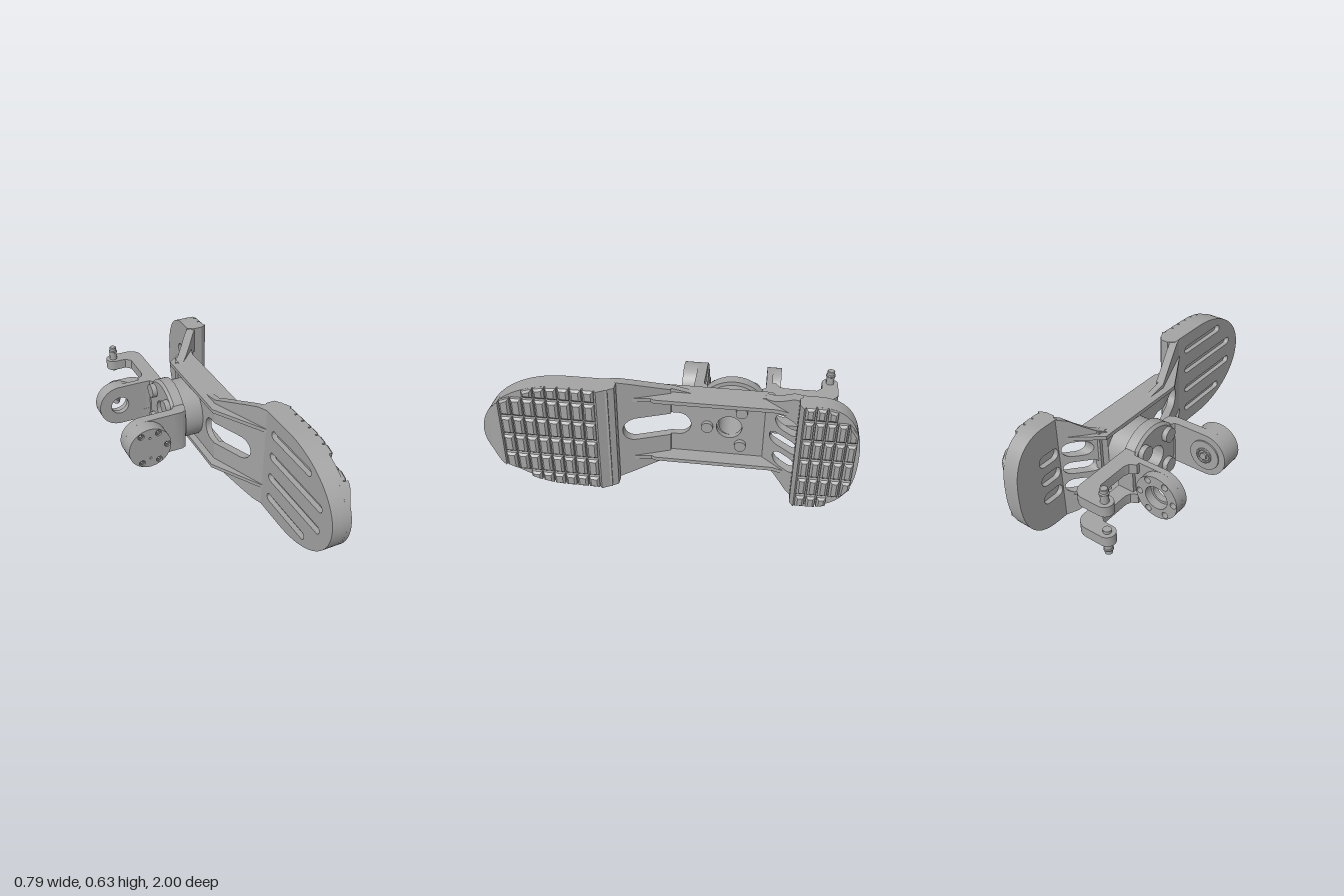
import * as THREE from 'three';
import { toCreasedNormals } from 'three/addons/utils/BufferGeometryUtils.js';

const CY = 0.3175, HW = 0.3175; // centre height, half width of the pads

export function createModel() {
  const root = new THREE.Group();
  root.name = 'roboticFoot';
  const body = new THREE.Group();
  body.name = 'footAssembly';
  body.position.y = CY;
  root.add(body);
  const grey = new THREE.MeshStandardMaterial({ color: 0xa4a4a4 });
  grey.name = 'machinedGrey';

  const add = (name, geo) => {
    const m = new THREE.Mesh(toCreasedNormals(geo, 0.5), grey);
    m.name = name;
    body.add(m);
    return m;
  };
  const poly = (C, pts) => new C(pts.map(p => new THREE.Vector2(p[0], p[1])));
  const circle = (x, y, r) => new THREE.Path().absarc(x, y, r, 0, Math.PI * 2);
  const extrude = (s, depth, bevel = 0) => new THREE.ExtrudeGeometry(s, {
    depth, curveSegments: 20, bevelEnabled: bevel > 0, bevelSize: bevel, bevelThickness: bevel,
    bevelOffset: -bevel, bevelSegments: 1 });
  // outline given as (z, y), extruded along x
  const alongX = (pts, x0, x1, holes = [], bevel = 0) => {
    const s = poly(THREE.Shape, pts.map(([z, y]) => [-z, y]));
    s.holes = holes;
    return extrude(s, x1 - x0, bevel).rotateY(Math.PI / 2).translate(x0, 0, 0);
  };
  // outline given as (x, z), extruded along y
  const alongY = (pts, y0, y1, holes = []) => {
    const s = poly(THREE.Shape, pts.map(([x, z]) => [x, -z]));
    s.holes = holes;
    return extrude(s, y1 - y0).rotateX(-Math.PI / 2).translate(0, y0, 0);
  };
  const slot = (a0, a1, b, r) => new THREE.Path()
    .absarc(a1 - r, b, r, -Math.PI / 2, Math.PI / 2).absarc(a0 + r, b, r, Math.PI / 2, Math.PI * 1.5);
  const zSlot = (z0, z1, y, r) => slot(-z1, -z0, y, r);
  const arc = (cx, cy, r, a0, a1, n = 10) => Array.from({ length: n + 1 }, (_, i) => {
    const a = (a0 + (a1 - a0) * i / n) * Math.PI / 180;
    return [cx + r * Math.cos(a), cy + r * Math.sin(a)];
  });
  const mirrorY = half => [...half, ...half.slice().reverse().map(([z, y]) => [z, -y])];
  const move = (geo, f) => {
    const p = geo.attributes.position;
    for (let i = 0; i < p.count; i++) p.setX(i, f(p.getX(i), p.getZ(i)));
    return geo;
  };
  const cylX = (r, x0, x1, y, z, n = 24) =>
    new THREE.CylinderGeometry(r, r, x1 - x0, n).rotateZ(-Math.PI / 2).translate((x0 + x1) / 2, y, z);
  const cylZ = (r, z0, z1, x, y, n = 24) =>
    new THREE.CylinderGeometry(r, r, z1 - z0, n).rotateX(Math.PI / 2).translate(x, y, (z0 + z1) / 2);
  const latheX = pts => new THREE.LatheGeometry(pts.map(p => new THREE.Vector2(...p)), 48).rotateZ(-Math.PI / 2);

  // pad half widths along z
  const toeHW = z => z < 0.55 ? HW : HW * Math.sqrt(Math.max(0, 1 - ((z - 0.55) / 0.45) ** 2));
  const heelHW = z => z > -0.76 ? HW : HW * Math.max(0, 1 - ((-z - 0.76) / 0.24) ** 2.5) ** 0.4;
  const padOutline = (hw, z0, zc, z1) => {
    const half = [];
    if (z0 !== zc) half.push([z0, hw(z0)]);
    for (let i = 0; i <= 20; i++) {
      const z = zc + (z1 - zc) * Math.sin(i / 20 * Math.PI / 2);
      half.push([z, Math.max(hw(z), 0.002)]);
    }
    return mirrorY(half);
  };

  // toe pad: slotted back layer, sole, bevelled rear edge and sloped tip
  const toe = padOutline(toeHW, 0.3, 0.55, 1);
  add('toePadBack', alongX(toe, 0.255, 0.285,
    [-0.21, -0.07, 0.07, 0.21].map(y => zSlot(0.4, Math.abs(y) > 0.1 ? 0.78 : 0.9, y, 0.024))));
  add('toePadSole', alongX(toe, 0.285, 0.366));
  add('toePadRearEdge', alongY([[0.255, 0.3], [0.29, 0.27], [0.34, 0.27], [0.392, 0.355],
    [0.366, 0.375], [0.255, 0.375]], -HW, HW));
  add('toeTip', move(alongX(padOutline(toeHW, 0.89, 0.89, 1), 0.34, 0.394),
    (x, z) => x > 0.35 ? 0.394 - Math.max(0, z - 0.91) * 0.5 : x));

  // heel pad
  const heel = padOutline(heelHW, -0.69, -0.76, -1);
  add('heelPadBack', alongX(heel, 0.27, 0.3, [-0.12, 0, 0.12].map(y => zSlot(-0.84, -0.705, y, 0.035))));
  add('heelPadSole', alongX(heel, 0.3, 0.366));
  add('heelPadFrontEdge', alongY([[0.28, -0.7], [0.3, -0.675], [0.36, -0.675], [0.392, -0.695],
    [0.366, -0.71]], -HW, HW));

  // tread blocks: rows across the pads, cut into columns
  const tread = (name, hw, start, end, pitch) => {
    const cols = [-0.36, -0.24, -0.12, 0, 0.12, 0.24, 0.36];
    for (let z = start; z + pitch <= end + 1e-6; z += pitch) {
      const a = z + 0.004, b = z + pitch - 0.004;
      for (let c = 0; c < 6; c++) {
        const lo = q => Math.max(cols[c] + 0.007, -hw(q)), hi = q => Math.min(cols[c + 1] - 0.007, hw(q));
        if (hi(a) - lo(a) < 0.035 || hi(b) - lo(b) < 0.035) continue;
        add(name, alongX([[a, lo(a)], [b, lo(b)], [b, hi(b)], [a, hi(a)]], 0.362, 0.383, [], 0.012));
      }
    }
  };
  tread('toeTread', toeHW, 0.365, 0.9, 0.0655);
  tread('heelTread', heelHW, -0.98, -0.7, 0.056);

  // bridge: flat centre plate, sloped toe web and sloped heel web
  const centre = mirrorY([[-0.55, 0.215], [-0.47, 0.2], [-0.12, 0.2], [0, 0.225], [0, 0.07]]
    .concat(arc(-0.04, 0, 0.07, 90, 180).slice(0, -1)));
  add('centrePlate', alongX(centre, 0.12, 0.155, [circle(0.32, 0, 0.07)]));
  const toeWeb = mirrorY([[0, 0.07], [0, 0.225], [0.1, 0.257], [0.2, 0.29], [0.28, 0.314], [0.34, HW]]);
  const webSlot = mirrorY([[0, 0.07], ...arc(0.18, 0, 0.07, 90, 0)]);
  const webHalf = [[0, 0.07], [0, 0.225], [0.1, 0.257], [0.2, 0.29], [0.28, 0.314], [0.34, HW]];
  const webPts = [...webHalf, ...webHalf.slice(1).reverse().map(([z, y]) => [z, -y]),
    ...webSlot.slice().reverse()];
  add('toeWeb', move(alongX(webPts, 0.12, 0.17), (x, z) => x + z * 0.4));
  const heelWeb = mirrorY([[-0.51, 0.205], [-0.55, 0.22], [-0.6, 0.255], [-0.65, 0.298], [-0.7, HW]]);
  add('heelWeb', move(alongX(heelWeb, 0.1, 0.16,
    [zSlot(-0.69, -0.565, -0.12, 0.045), zSlot(-0.69, -0.54, 0, 0.038), zSlot(-0.69, -0.565, 0.12, 0.045)]),
  (x, z) => x - (z + 0.51) * 0.9));

  // side flanges with a lightening slot
  for (const y of [-0.202, 0.18]) {
    const hole = new THREE.Path().absarc(0.17, 0.235, 0.035, Math.PI, Math.PI * 2)
      .absarc(0.17, 0.385, 0.035, 0, Math.PI);
    add('sideFlange', alongY([[0.08, -0.54], [0.08, 0.05], [0.255, 0.345], [0.262, 0.3], [0.235, 0.1],
      [0.247, 0.08], [0.247, -0.57], [0.27, -0.64], [0.24, -0.665]], y, y + 0.022, [hole]));
  }
  for (const [z, y] of [[-0.2, 0], [-0.385, 0.11], [-0.385, -0.11]])
    add('soleBolt', cylX(0.032, 0.15, 0.18, y, z));

  // ankle swivel and chamfered bracket base, both open in the middle
  const swivel = add('ankleSwivel', latheX([[0.07, 0], [0.178, 0], [0.178, 0.125], [0.07, 0.125], [0.07, 0]]));
  const base = add('bracketBase', latheX([[0.07, -0.07], [0.185, -0.07], [0.2, -0.055], [0.2, 0.005],
    [0.07, 0.005], [0.07, -0.07]]));
  swivel.position.z = base.position.z = -0.33;
  for (const z of [-0.43, -0.23]) for (const y of [-0.1, 0.1])
    add('baseBolt', cylX(0.042, -0.1, -0.06, y, z));
  add('stopPin', cylZ(0.018, -0.575, -0.48, 0.072, 0, 16));

  // clevis arms
  const AX = -0.27, R = 0.127;
  const alongZ = (shape, holes, z0, z1) => {
    shape.holes = holes;
    return extrude(shape, z1 - z0).translate(0, 0, z0);
  };
  const armShape = () => poly(THREE.Shape, [...arc(AX, 0, R, 90, 270, 24), [-0.04, -R], [-0.04, R]]);
  const disc = () => new THREE.Shape().absarc(AX, 0, R, 0, Math.PI * 2);
  const bolts = skip => [0, 60, 120, 180, 240, 300].filter(a => a !== skip)
    .map(a => [AX + 0.104 * Math.cos(a * Math.PI / 180), 0.104 * Math.sin(a * Math.PI / 180)]);
  const boltHoles = (r, skip) => bolts(skip).map(([x, y]) => circle(x, y, r));
  const dowels = [circle(AX, 0.068, 0.007), circle(AX, -0.068, 0.007)];

  add('frontArm', alongZ(armShape(), [], -0.155, -0.1));
  add('frontArmCorner', alongY([[-0.1, -0.155], [-0.075, -0.157], [-0.06, -0.175], [-0.06, -0.24], [0, -0.24],
    [0, -0.14], [-0.012, -0.112], [-0.04, -0.1], [-0.1, -0.1]], -R, R));
  add('frontCap', alongZ(disc(), [...boltHoles(0.019, 180), ...dowels], -0.1, -0.018));
  for (const [x, y] of bolts(180))
    add('capBolt', new THREE.TorusGeometry(0.0125, 0.006, 8, 20).translate(x, y, -0.03));
  add('frontHub', cylZ(0.09, -0.163, -0.15, AX, 0, 32));
  add('hubRing', new THREE.TorusGeometry(0.04, 0.008, 8, 28).translate(AX, 0, -0.165));
  add('hubScrew', cylZ(0.022, -0.175, -0.16, AX, 0, 6));

  add('backArm', alongZ(armShape(), [circle(AX, 0, 0.055)], -0.54, -0.505));
  add('backArmCorner', alongY([[-0.1, -0.505], [-0.075, -0.503], [-0.06, -0.485], [-0.06, -0.42], [0, -0.42],
    [0, -0.56], [-0.1, -0.56]], -R, R));
  add('backCap', alongZ(disc(), [circle(AX, 0, 0.068), ...boltHoles(0.018, -1)], -0.588, -0.54));

  // paired hooks with pins at their tips
  for (const s of [1, -1]) {
    const hook = [[0, -0.5], ...arc(-0.075, -0.83, 0.075, 0, -90), ...arc(-0.178, -0.86, 0.045, -90, -270),
      ...arc(-0.115, -0.785, 0.03, 90, 0, 1).map(([x]) => [x, x < -0.1 ? -0.815 : -0.785]),
      [-0.085, -0.61], [-0.095, -0.58], [-0.13, -0.56], [-0.13, -0.505]];
    add('hook', alongY(hook, s > 0 ? 0.067 : -R, s > 0 ? R : -0.067));
    const pin = add('hookPin', new THREE.LatheGeometry([[0, 0.05], [0.022, 0.05], [0.022, 0.172], [0.026, 0.175],
      [0.026, 0.182], [0.021, 0.187], [0.021, 0.205], [0.018, 0.208], [0, 0.208]]
      .map(p => new THREE.Vector2(...p)), 20));
    pin.position.set(-0.178, 0, -0.86);
    if (s < 0) pin.rotation.x = Math.PI;
  }
  return root;
}
